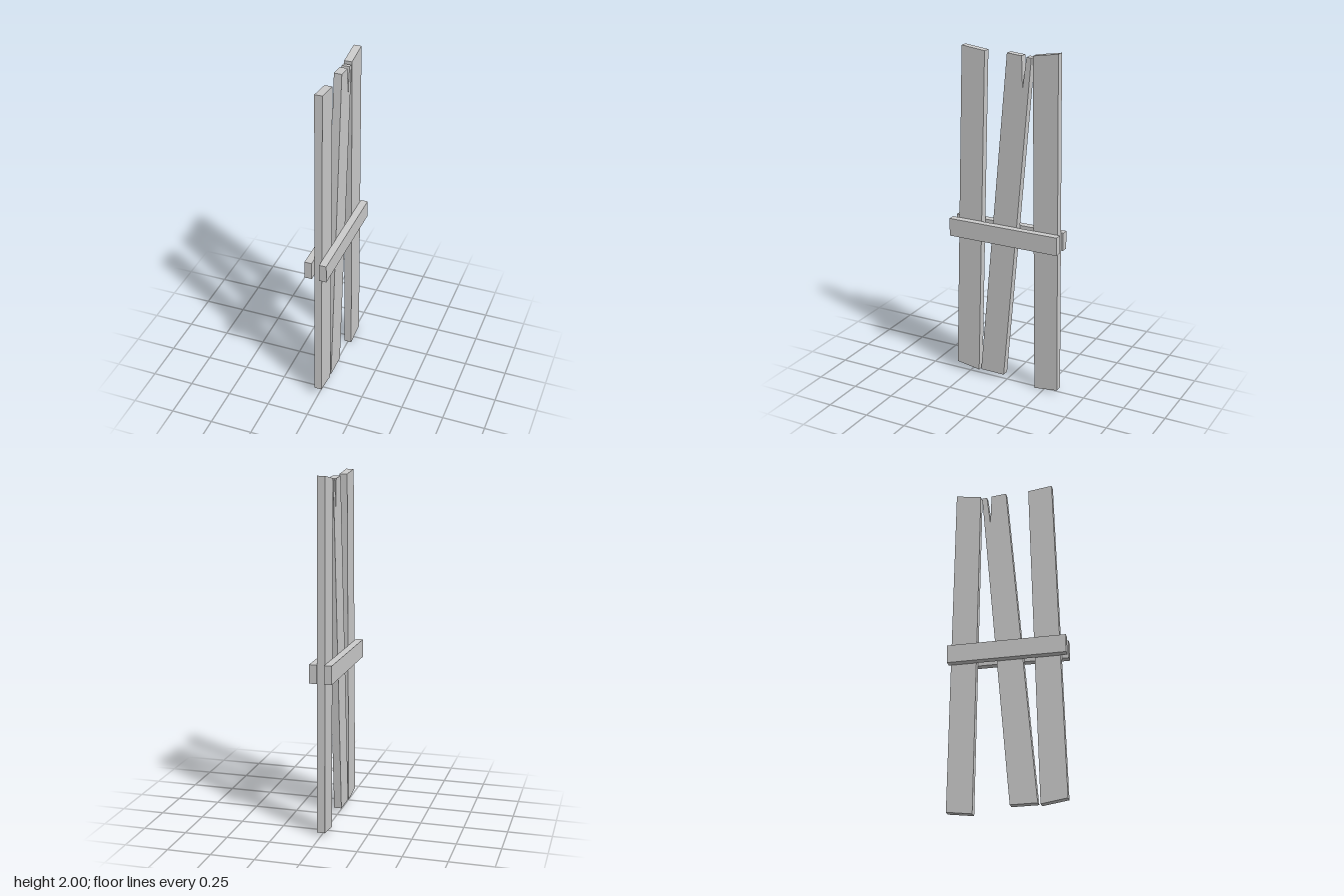
import * as THREE from 'three';

const THICK = 0.044;

export function createModel() {
  const group = new THREE.Group();
  const material = new THREE.MeshStandardMaterial({ color: 0xcccccc, flatShading: true });

  const add = (name, geometry) => {
    const mesh = new THREE.Mesh(geometry, material);
    mesh.name = name;
    group.add(mesh);
    return mesh;
  };

  // Upright board: outline given as [z, y] corners, thickness along x
  const plank = (name, outline) => {
    const shape = new THREE.Shape(outline.map(([z, y]) => new THREE.Vector2(-z, y)));
    const geometry = new THREE.ExtrudeGeometry(shape, { depth: THICK, bevelEnabled: false });
    geometry.translate(0, 0, -THICK / 2);
    geometry.rotateY(Math.PI / 2);
    add(name, geometry);
  };

  plank('frontPlank', [[0.327, 0.053], [0.179, 0.03], [0.127, 1.976], [0.27, 1.994]]);

  // Leaning board with a split at its top end
  plank('splitMiddlePlank', [
    [0.164, 0.037], [0.012, 0.036], [-0.157, 1.962], [-0.128, 1.966],
    [-0.105, 1.785], [-0.099, 1.97], [-0.01, 1.978],
  ]);

  plank('backPlank', [[-0.193, 0], [-0.339, 0.018], [-0.316, 2], [-0.166, 1.976]]);

  // Cross rails, one on each face of the boards
  for (const side of [1, -1]) {
    add(side > 0 ? 'leftRail' : 'rightRail', new THREE.BoxGeometry(0.042, 0.106, 0.684))
      .position.set(side * 0.043, 0.932, 0);
  }
  return group;
}
